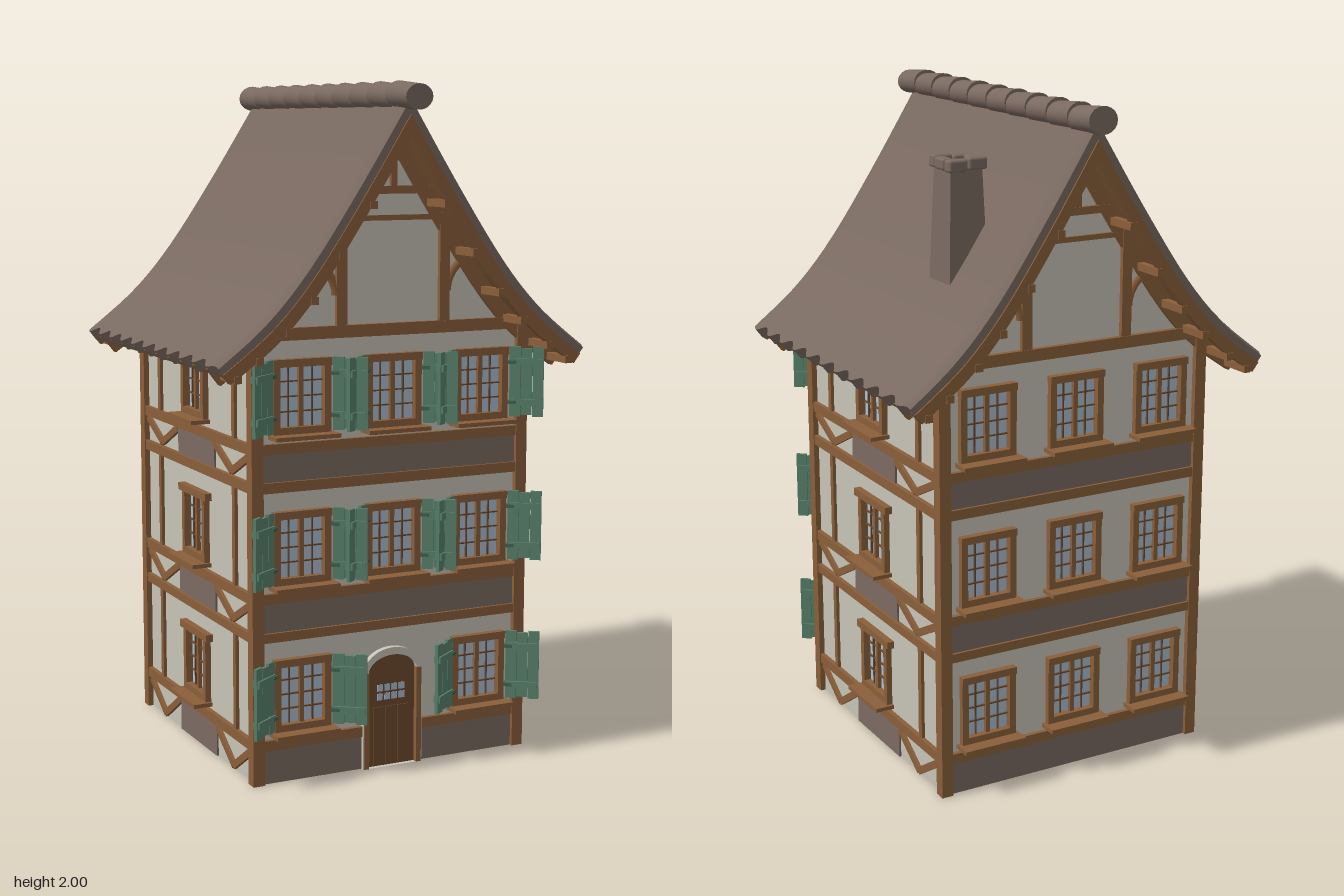
import * as THREE from 'three';
import { toCreasedNormals } from 'three/addons/utils/BufferGeometryUtils.js';
import { RoundedBoxGeometry } from 'three/addons/geometries/RoundedBoxGeometry.js';

const mat = (name, color, side = THREE.FrontSide) => {
  const m = new THREE.MeshStandardMaterial({ color, side });
  m.name = name;
  return m;
};
const M = {
  plaster: mat('plaster', 0xc6c3b6, THREE.DoubleSide),
  timber: mat('timber', 0x8a5f3a),
  darkWood: mat('dark wood', 0x6c4a2e),
  stone: mat('stone', 0x7b6a61),
  roof: mat('roof tile', 0x796960),
  shutter: mat('shutter green', 0x57806a),
  hinge: mat('dark green', 0x42614f),
  glass: mat('glass', 0xa9bfd2, THREE.DoubleSide),
  soot: mat('soot', 0x4b4d47),
};

const ZC = -0.0125;   // centre of the square body
const W = 0.43;       // half width of the walls
const FLOORS = [0, 0.43, 0.863];
const BANDS = [[0, 0.1], [0.445, 0.53], [0.88, 0.96]];
const BEAMS = [[0.1, 0.13], [0.418, 0.445], [0.53, 0.56], [0.85, 0.88], [0.96, 0.99]];

function add(parent, name, geo, material, x = 0, y = 0, z = 0) {
  const m = new THREE.Mesh(geo, material);
  m.name = name;
  m.position.set(x, y, z);
  parent.add(m);
  return m;
}
// box given by its limits
function box(parent, name, material, x0, x1, y0, y1, z0, z1) {
  return add(parent, name, new THREE.BoxGeometry(x1 - x0, y1 - y0, z1 - z0), material,
    (x0 + x1) / 2, (y0 + y1) / 2, (z0 + z1) / 2);
}
function group(parent, name) {
  const g = new THREE.Group();
  g.name = name;
  parent.add(g);
  return g;
}
// slanting timber on a wall
function brace(parent, x0, y0, x1, y1, w) {
  const m = add(parent, 'diagonalBrace', new THREE.BoxGeometry(Math.hypot(x1 - x0, y1 - y0), w, 0.018),
    M.timber, (x0 + x1) / 2, (y0 + y1) / 2, W + 0.001);
  m.rotation.z = Math.atan2(y1 - y0, x1 - x0);
}

// Roof slope from ridge to eave; d is the depth below the tile surface
const slope = new THREE.SplineCurve([[0, 1.965], [0.16, 1.715], [0.31, 1.5], [0.44, 1.355], [0.59, 1.235]]
  .map(p => new THREE.Vector2(...p)));
function roofPoint(t, d) {
  const p = slope.getPoint(t);
  return new THREE.Vector2(p.x * (1 - 1.05 * d), p.y - d * (1.8 - p.x / 0.59));
}
function roofStrip(side, d0, d1, depth, steps = 1) {
  const pts = [], n = 18;
  for (let i = 0; i <= n; i++) pts.push(roofPoint(i / n, d0));
  for (let i = n; i >= 0; i--) pts.push(roofPoint(i / n, d1));
  pts.forEach(p => { p.x *= side; });
  return new THREE.ExtrudeGeometry(new THREE.Shape(pts), { depth, steps, bevelEnabled: false });
}

function archPath(path, w, spring, top) {
  path.moveTo(-w, 0);
  path.lineTo(w, 0);
  path.lineTo(w, spring);
  path.absellipse(0, spring, w, top - spring, 0, Math.PI, false);
  path.lineTo(-w, 0);
  return path;
}

function wall(parent, gabled, windows, door) {
  const s = new THREE.Shape();
  s.moveTo(-W, 0);
  s.lineTo(W, 0);
  s.lineTo(W, 1.3);
  if (gabled) {
    const pts = [];
    for (let i = 0; i <= 24; i++) {
      const p = roofPoint(i / 24, 0.04);
      if (p.x < W - 0.005) pts.push(p);
    }
    [...pts].reverse().forEach(p => s.lineTo(p.x, p.y));
    pts.slice(1).forEach(p => s.lineTo(-p.x, p.y));
  }
  s.lineTo(-W, 1.3);
  for (const [x, y] of windows) {
    const h = new THREE.Path();
    h.moveTo(x - 0.075, y + 0.16);
    h.lineTo(x - 0.075, y + 0.345);
    h.lineTo(x + 0.075, y + 0.345);
    h.lineTo(x + 0.075, y + 0.16);
    s.holes.push(h);
  }
  if (door) s.holes.push(archPath(new THREE.Path(), 0.084, 0.285, 0.342).translate?.() ?? archPath(new THREE.Path(), 0.084, 0.285, 0.342));
  add(parent, 'plasterWall', new THREE.ShapeGeometry(s, 16), M.plaster, 0, 0, W);
}

function windowUnit(parent, x, y, headHalf) {
  const g = group(parent, 'window');
  g.position.set(x, y, W);
  add(g, 'glass', new THREE.PlaneGeometry(0.15, 0.185), M.glass, 0, 0.2525, -0.004);
  for (const s of [-1, 1]) box(g, 'jamb', M.timber, s * 0.079 - 0.01, s * 0.079 + 0.01, 0.15, 0.35, -0.015, 0.018);
  box(g, 'lintel', M.timber, -headHalf, headHalf, 0.343, 0.365, -0.015, 0.022);
  box(g, 'bottomRail', M.timber, -0.088, 0.088, 0.15, 0.172, -0.015, 0.018);
  box(g, 'sill', M.timber, -0.1, 0.1, 0.14, 0.152, -0.01, 0.06);
  box(g, 'mullion', M.timber, -0.007, 0.007, 0.17, 0.345, -0.012, 0.008);
  for (const s of [-1, 1]) box(g, 'glazingBar', M.darkWood, s * 0.037 - 0.002, s * 0.037 + 0.002, 0.17, 0.345, -0.008, 0.002);
  for (const b of [0.215, 0.258, 0.301]) box(g, 'glazingBar', M.darkWood, -0.07, 0.07, b - 0.002, b + 0.002, -0.008, 0.002);
}

// half-open shutter, hinged beside a window
function shutter(parent, x, y, side) {
  const g = group(parent, 'shutter');
  g.position.set(x + side * 0.093, y, W + 0.017);
  g.rotation.y = -side * 0.62;
  for (let i = 0; i < 3; i++) {
    const a = side * (0.018 + i * 0.034), e = (i % 2) * 0.005;
    box(g, 'plank', M.shutter, a - 0.0163, a + 0.0163, 0.157 + e, 0.366 - e, -0.005, 0.005);
  }
  for (const b of [0.2, 0.32]) {
    box(g, 'batten', M.shutter, side * 0.052 - 0.046, side * 0.052 + 0.046, b - 0.01, b + 0.01, -0.011, 0.011);
    box(g, 'hinge', M.hinge, side * 0.01 - 0.012, side * 0.01 + 0.012, b - 0.005, b + 0.005, -0.014, 0.014);
  }
}

function gableTimbers(parent) {
  const g = group(parent, 'gableFrame');
  const z0 = W - 0.012, z1 = W + 0.014;
  box(g, 'tieBeam', M.timber, -0.47, 0.47, 1.28, 1.315, z0, z1 + 0.002);
  box(g, 'upperRail', M.timber, -0.15, 0.15, 1.607, 1.622, z0, z1 - 0.004);
  box(g, 'collarBeam', M.timber, -0.115, 0.115, 1.682, 1.704, z0, z1);
  box(g, 'kingPost', M.timber, -0.01, 0.01, 1.7, 1.88, z0, z1 - 0.002);
  for (const s of [-1, 1]) {
    box(g, 'gablePost', M.timber, s * 0.165 - 0.016, s * 0.165 + 0.016, 1.31, 1.625, z0, z1);
    add(g, 'wallRafter', roofStrip(s, 0.045, 0.088, 0.022), M.timber, 0, 0, W - 0.01);
    const arc = add(g, 'curvedBrace', new THREE.TorusGeometry(0.1, 0.013, 4, 12, 1.45), M.timber, s * 0.28, 1.4, W);
    if (s > 0) arc.rotation.y = Math.PI;
    // purlin ends under the overhang
    for (const t of [0.2, 0.36, 0.52, 0.68, 0.84, 0.95]) {
      const p = roofPoint(t, 0.07);
      box(g, 'purlin', M.timber, s * p.x - 0.011, s * p.x + 0.011, p.y - 0.011, p.y + 0.011, W - 0.01, 0.545);
    }
  }
}

function doorUnit(parent) {
  const g = group(parent, 'door');
  const leaf = archPath(new THREE.Shape(), 0.08, 0.285, 0.338);
  add(g, 'doorLeaf', new THREE.ExtrudeGeometry(leaf, { depth: 0.014, bevelEnabled: false, curveSegments: 16 }), M.darkWood, 0, 0, W - 0.01);
  const ring = archPath(new THREE.Shape(), 0.097, 0.285, 0.36);
  ring.holes.push(archPath(new THREE.Path(), 0.08, 0.285, 0.338));
  add(g, 'archSurround', new THREE.ExtrudeGeometry(ring, { depth: 0.024, bevelEnabled: false, curveSegments: 16 }), M.plaster, 0, 0, W - 0.006);
  for (const s of [-1, 1]) box(g, 'doorJamb', M.timber, s * 0.086 - 0.008, s * 0.086 + 0.008, 0, 0.29, W - 0.01, W + 0.02);
  for (const x of [-0.04, 0, 0.04]) box(g, 'plankStrip', M.darkWood, x - 0.018, x + 0.018, 0.005, 0.18, W, W + 0.007);
  for (let i = 0; i < 4; i++) for (let j = 0; j < 2; j++) {
    const x = -0.036 + i * 0.024, y = 0.21 + j * 0.027;
    box(g, 'doorPane', M.glass, x - 0.009, x + 0.009, y - 0.01, y + 0.01, W, W + 0.006);
  }
}

// One side of the house, built facing +z
function facade(root, name, turn) {
  const f = group(root, name);
  f.position.z = ZC;
  f.rotation.y = turn * Math.PI / 2;
  const front = turn === 0, gabled = turn % 2 === 0;
  const windows = [];
  FLOORS.forEach((y, i) => {
    for (const x of gabled ? [-0.29, 0, 0.29] : [0]) if (!(front && i === 0 && x === 0)) windows.push([x, y]);
  });
  wall(f, gabled, windows, front);
  windows.forEach(([x, y]) => {
    windowUnit(f, x, y, gabled ? 0.09 : 0.108);
    if (front) for (const s of [-1, 1]) shutter(f, x, y, s);
  });
  // horizontal beams, split around the door
  BEAMS.forEach(([a, b], i) => {
    for (const s of [-1, 1]) {
      const x = front && i === 0 ? 0.095 : 0;
      box(f, 'beam', M.timber, Math.min(s * x, s * 0.43), Math.max(s * x, s * 0.43), a, b, W - 0.01, W + 0.014);
    }
  });
  // bands between floors
  BANDS.forEach(([a, b], i) => {
    if (gabled) for (const s of [-1, 1]) {
      const x = front && i === 0 ? 0.095 : 0;
      box(f, 'bandPanel', M.stone, Math.min(s * x, s * 0.415), Math.max(s * x, s * 0.415), a, b, W - 0.003, W + 0.006);
    } else {
      box(f, 'bandPanel', M.stone, -0.145, 0.145, a, b, W - 0.003, W + 0.006);
      for (const s of [-1, 1]) {
        brace(f, s * 0.405, b - 0.006, s * 0.278, a + 0.012, 0.022);
        brace(f, s * 0.278, a + 0.012, s * 0.15, b - 0.006, 0.022);
        box(f, 'stud', M.timber, s * 0.295 - 0.01, s * 0.295 + 0.01, [0.13, 0.56, 0.99][i], [0.418, 0.85, 1.29][i], W - 0.008, W + 0.01);
      }
    }
  });
  box(f, 'cornerPost', M.timber, 0.411, 0.447, 0, 1.29, 0.411, 0.447);
  if (front) doorUnit(f);
  if (gabled) gableTimbers(f);
}

function roof(root) {
  const g = group(root, 'roof');
  const half = 0.5375;
  for (const s of [-1, 1]) {
    // tile covering with a scalloped eave and rolled verges
    let geo = roofStrip(s, 0, 0.036, half * 2, 88);
    geo.translate(0, 0, -half);
    const p = geo.attributes.position;
    for (let i = 0; i < p.count; i++) {
      const x = p.getX(i), z = p.getZ(i);
      if (Math.abs(x) > 0.56) {
        const w = 0.009 * Math.cos(z * Math.PI * 2 / 0.0977);
        p.setXY(i, x + s * w, p.getY(i) - w * 0.8);
      }
      const t = Math.max(0, (Math.abs(z) - 0.49) / 0.0475);
      p.setY(i, p.getY(i) - 0.018 * t * t);
    }
    geo = toCreasedNormals(geo, 0.6);
    add(g, 'roofTiles', geo, M.roof, 0, 0, ZC);
    add(g, 'roofDeck', roofStrip(s, 0.03, 0.045, 1.06), M.timber, 0, 0, ZC - 0.53);
    for (const e of [-1, 1]) add(g, 'bargeboard', roofStrip(s, 0.034, 0.068, 0.022), M.timber, 0, 0, ZC + e * 0.531 - 0.011);
  }
  // overlapping ridge tiles
  for (let i = 0; i < 10; i++) {
    const c = new THREE.CylinderGeometry(0.039, 0.036, 0.121, 20);
    c.rotateX(-Math.PI / 2);
    c.scale(1.18, 1, 1);
    const m = add(g, 'ridgeTile', c, M.roof, 0, 1.955, -0.515 + i * 0.1145);
    m.rotation.x = 0.06;
  }
}

function chimney(root) {
  const g = group(root, 'chimney');
  g.position.set(0.26, 0, -0.23);
  const stack = new THREE.CylinderGeometry(0.05 * Math.SQRT2, 0.063 * Math.SQRT2, 0.36, 4).toNonIndexed();
  stack.rotateY(Math.PI / 4);
  stack.computeVertexNormals();
  add(g, 'chimneyStack', stack, M.stone, 0, 1.625, 0);
  add(g, 'flue', new THREE.BoxGeometry(0.07, 0.008, 0.07), M.soot, 0, 1.808, 0);
  for (const s of [-1, 1]) {
    for (const e of [-1, 1]) {
      add(g, 'capStone', new RoundedBoxGeometry(0.06, 0.036, 0.036, 2, 0.008), M.stone, e * 0.031, 1.82 + e * s * 0.002, s * 0.046);
    }
    add(g, 'capStone', new RoundedBoxGeometry(0.034, 0.034, 0.056, 2, 0.008), M.stone, s * 0.046, 1.82, 0);
  }
}

export function createModel() {
  const root = new THREE.Group();
  root.name = 'timberFramedHouse';
  ['frontFacade', 'leftFacade', 'backFacade', 'rightFacade'].forEach((n, i) => facade(root, n, i));
  roof(root);
  chimney(root);
  return root;
}
